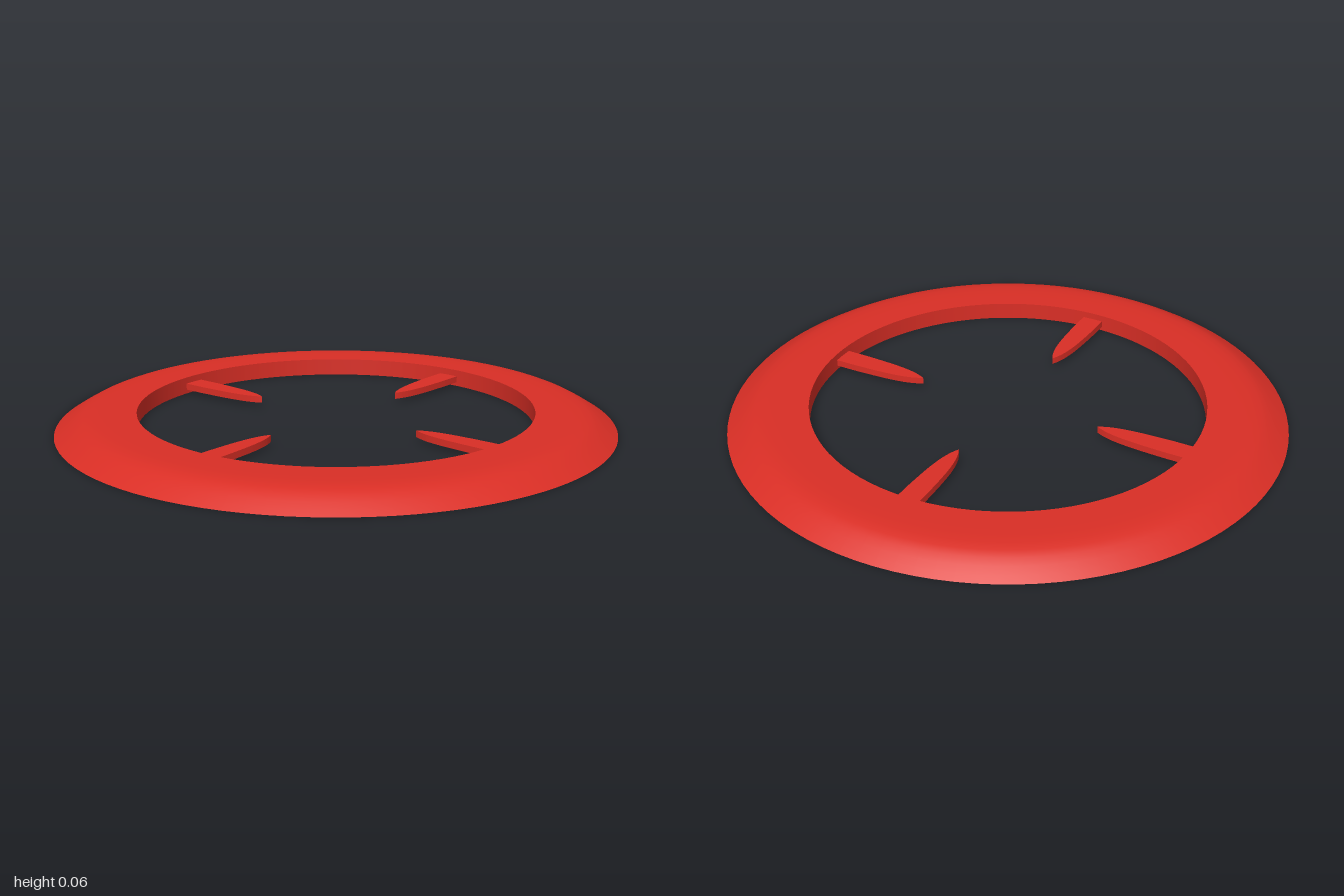
import * as THREE from 'three';

const red = new THREE.MeshStandardMaterial({ color: 0xd92e25 });
red.name = 'red';

const OUTER = 1, INNER = 0.71, HEIGHT = 0.063;

// Surface of revolution; each is smooth inside and sharp where it meets the next
function revolve(name, profile) {
  const points = profile.map(([r, y]) => new THREE.Vector2(r, y));
  const mesh = new THREE.Mesh(new THREE.LatheGeometry(points, 96), red);
  mesh.name = name;
  return mesh;
}

// Tapered, round-nosed prong pointing at the centre from the +x side
function prongGeometry() {
  const base = INNER + 0.006;
  const shape = new THREE.Shape();
  shape.moveTo(base, -0.04);
  shape.lineTo(base, 0.04);
  shape.lineTo(0.63, 0.04);
  shape.bezierCurveTo(0.5, 0.036, 0.41, 0.032, 0.355, 0);
  shape.bezierCurveTo(0.41, -0.032, 0.5, -0.036, 0.63, -0.04);
  shape.closePath();
  const geometry = new THREE.ExtrudeGeometry(shape, { depth: 0.024, bevelEnabled: false, curveSegments: 14 });
  geometry.rotateX(-Math.PI / 2);
  geometry.translate(0, 0.015, 0);
  return geometry;
}

export function createModel() {
  const model = new THREE.Group();
  model.name = 'burnerRing';

  // Ring: rounded top, upright inner wall, flat underside
  const ring = new THREE.Group();
  ring.name = 'ring';
  ring.add(
    revolve('ringTop', [
      [OUTER, 0], [0.975, 0.016], [0.95, 0.031], [0.925, 0.045], [0.9, 0.055],
      [0.87, 0.06], [0.84, 0.062], [0.8, HEIGHT], [INNER, HEIGHT],
    ]),
    revolve('innerWall', [[INNER, HEIGHT], [INNER, 0]]),
    revolve('underside', [[INNER, 0], [OUTER, 0]]),
  );
  model.add(ring);

  // Four prongs reaching inward
  const geometry = prongGeometry();
  for (let i = 0; i < 4; i++) {
    const prong = new THREE.Mesh(geometry, red);
    prong.name = `prong${i + 1}`;
    prong.rotation.y = (i * Math.PI) / 2;
    model.add(prong);
  }
  return model;
}
